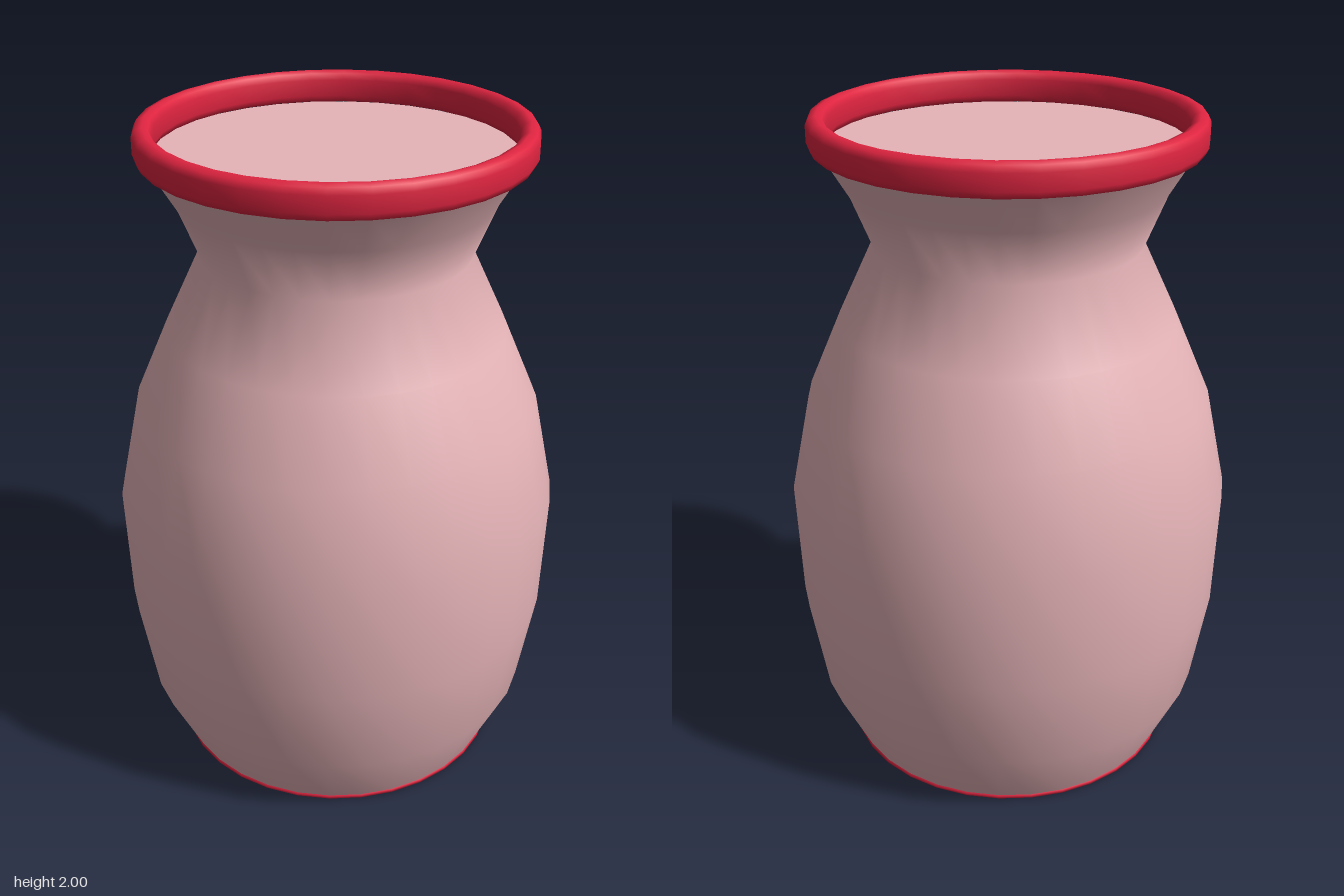
import * as THREE from 'three';

const SIDES = 32;

// Revolve a list of [radius, height] points around the y axis
function lathe(name, points, material) {
  const profile = points.map(([r, y]) => new THREE.Vector2(r, y));
  const mesh = new THREE.Mesh(new THREE.LatheGeometry(profile, SIDES), material);
  mesh.name = name;
  return mesh;
}

// Flat round face, looking up (1) or down (-1)
function disc(name, radius, y, facing, material) {
  const geometry = new THREE.CircleGeometry(radius, SIDES);
  geometry.rotateX(-facing * Math.PI / 2);
  const mesh = new THREE.Mesh(geometry, material);
  mesh.position.y = y;
  mesh.name = name;
  return mesh;
}

export function createModel() {
  const group = new THREE.Group();
  group.name = 'vase';
  const pink = new THREE.MeshStandardMaterial({ color: 0xe6b4b8 });
  const red = new THREE.MeshStandardMaterial({ color: 0xdf2440 });

  // Bulging body, narrow neck and flared mouth
  group.add(lathe('body', [
    [0.505, 0.015], [0.6, 0.215], [0.65, 0.51], [0.663, 0.865], [0.6, 1.165],
    [0.5, 1.397], [0.392, 1.627], [0.458, 1.79], [0.527, 1.905],
  ], pink));

  // Flat surface closing the mouth just inside the rim
  group.add(disc('mouthSurface', 0.527, 1.903, 1, pink));

  // Tall rounded rim ring, as a closed cross-section
  group.add(lathe('rim', [
    [0.532, 1.902], [0.552, 1.908], [0.561, 1.927], [0.561, 1.975],
    [0.552, 1.993], [0.532, 2.0], [0.514, 1.993], [0.505, 1.975],
    [0.505, 1.927], [0.514, 1.908], [0.532, 1.902],
  ], red));

  // Thin foot band and underside
  group.add(lathe('footBand', [[0.498, 0], [0.508, 0.006], [0.508, 0.014], [0.503, 0.02]], red));
  group.add(disc('underside', 0.498, 0, -1, red));

  return group;
}
